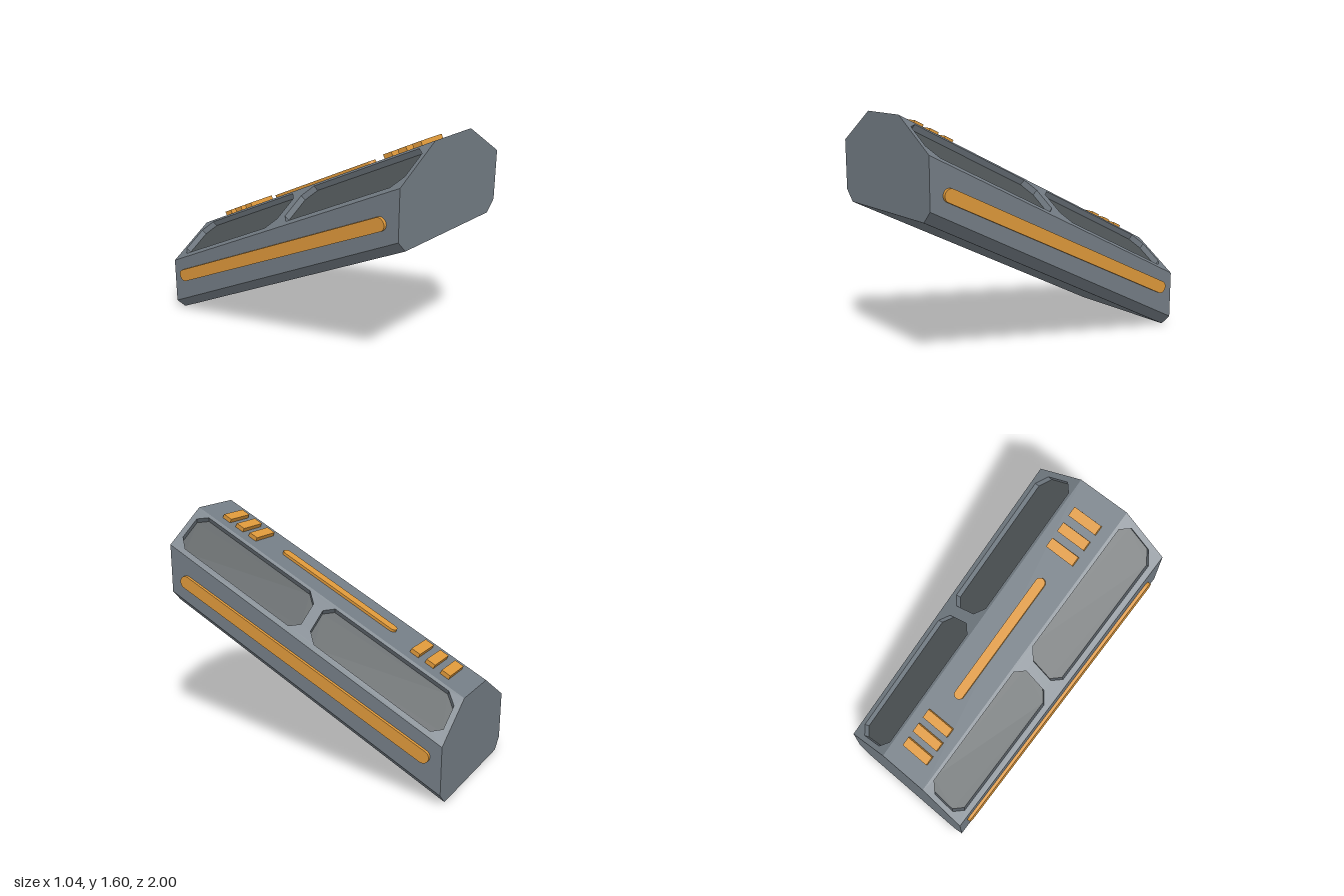
import * as THREE from 'three';

const W = 0.497, TOP = 0.595, RIDGE = 0.18, EAVE = 0.393;
const SLOPE = 0.5, TILT = Math.atan(SLOPE), DEPTH = 0.04;
const FALL = (TOP - EAVE) / (W - RIDGE);
const INWARD = new THREE.Vector3(FALL, 1, -SLOPE).normalize().multiplyScalar(-1);

const rise = (z) => SLOPE * (z + 1);

// flat-shaded geometry from a flat list of Vector3 triangles
function fromTriangles(points) {
  const g = new THREE.BufferGeometry().setFromPoints(points);
  g.computeVertexNormals();
  return g;
}

const quad = (a, b, c, d) => [a, b, c, a, c, d];

// reflect triangles across x = 0 and keep them facing outward
function mirrored(points) {
  const out = [];
  for (let i = 0; i < points.length; i += 3)
    for (const k of [0, 2, 1]) out.push(points[i + k].clone().setX(-points[i + k].x));
  return out;
}

// point on the sloping shoulder (shape coordinates are x and -z), sunk by depth
function onShoulder(x, v, depth = 0) {
  const z = -v;
  return new THREE.Vector3(x, TOP - FALL * (x - RIDGE) + rise(z), z).addScaledVector(INWARD, depth);
}

function shoulderFace(shape, depth) {
  const p = new THREE.ShapeGeometry(shape).toNonIndexed().attributes.position;
  const pts = [];
  for (let i = 0; i < p.count; i++) pts.push(onShoulder(p.getX(i), p.getY(i), depth));
  return pts;
}

// rectangle with clipped corners, counter-clockwise
function clippedCorners(x0, x1, v0, v1, cx, cv) {
  return [
    [x0 + cx, v0], [x1 - cx, v0], [x1, v0 + cv], [x1, v1 - cv],
    [x1 - cx, v1], [x0 + cx, v1], [x0, v1 - cv], [x0, v0 + cv],
  ].map(([x, y]) => new THREE.Vector2(x, y));
}

// sheared octagonal prism, leaving the two shoulders open
function hullTriangles() {
  const half = [[0.427, 0], [W, 0.073], [W, EAVE], [RIDGE, TOP]];
  const section = [...half, ...half.map(([x, y]) => [-x, y]).reverse()];
  const at = (i, z) => {
    const [x, y] = section[i % 8];
    return new THREE.Vector3(x, y + rise(z), z);
  };
  const pts = [];
  for (let i = 0; i < 8; i++) {
    if (i === 2 || i === 4) continue;
    pts.push(...quad(at(i, 1), at(i, -1), at(i + 1, -1), at(i + 1, 1)));
  }
  for (let i = 1; i < 7; i++) {
    pts.push(at(0, 1), at(i, 1), at(i + 1, 1));
    pts.push(at(0, -1), at(i + 1, -1), at(i, -1));
  }
  return pts;
}

// round-ended strip lying along local y, extruded along local z
function capsuleStrip(length, radius, thickness) {
  const h = length / 2 - radius;
  const s = new THREE.Shape();
  s.absarc(0, h, radius, 0, Math.PI, false);
  s.absarc(0, -h, radius, Math.PI, Math.PI * 2, false);
  s.closePath();
  const g = new THREE.ExtrudeGeometry(s, { depth: thickness, bevelEnabled: false, curveSegments: 10 });
  return g.translate(0, 0, -thickness / 2);
}

export function createModel() {
  const model = new THREE.Group();
  model.name = 'slopedBlock';
  const grey = new THREE.MeshStandardMaterial({ color: 0x737c84 });
  grey.name = 'hullGrey';
  const dark = new THREE.MeshStandardMaterial({ color: 0x4d5355 });
  dark.name = 'panelGrey';
  const orange = new THREE.MeshStandardMaterial({ color: 0xdc973a });
  orange.name = 'trimOrange';

  const add = (parent, name, geometry, material) => {
    const m = new THREE.Mesh(geometry, material);
    m.name = name;
    parent.add(m);
    return m;
  };

  add(model, 'hull', fromTriangles(hullTriangles()), grey);

  // shoulders with two sunken panels each
  const shoulder = new THREE.Shape([[RIDGE, -1], [W, -1], [W, 1], [RIDGE, 1]]
    .map(([x, y]) => new THREE.Vector2(x, y)));
  const walls = [], floors = [];
  for (const v0 of [-0.965, 0.035]) {
    const loop = clippedCorners(0.2, 0.462, v0, v0 + 0.93, 0.055, 0.06);
    shoulder.holes.push(new THREE.Path(loop));
    floors.push(...shoulderFace(new THREE.Shape(loop), DEPTH));
    loop.forEach((a, i) => {
      const b = loop[(i + 1) % loop.length];
      walls.push(...quad(onShoulder(a.x, a.y), onShoulder(b.x, b.y),
        onShoulder(b.x, b.y, DEPTH), onShoulder(a.x, a.y, DEPTH)));
    });
  }
  const frame = shoulderFace(shoulder, 0);
  for (const [side, place] of [['left', (p) => p], ['right', mirrored]]) {
    add(model, side + 'Shoulder', fromTriangles(place(frame)), grey);
    add(model, side + 'RecessWalls', fromTriangles(place(walls)), grey);
    add(model, side + 'RecessFloors', fromTriangles(place(floors)), dark);
  }

  // trim on the top, laid out along the slope
  const deck = new THREE.Group();
  deck.name = 'deckTrim';
  deck.position.y = TOP + rise(0);
  deck.rotation.x = -TILT;
  model.add(deck);
  const strip = capsuleStrip(0.965, 0.033, 0.036).rotateX(-Math.PI / 2);
  add(deck, 'centreStrip', strip, orange);
  const bar = new THREE.BoxGeometry(0.21, 0.056, 0.067);
  for (const z of [-0.829, -0.723, -0.617, 0.617, 0.723, 0.829])
    add(deck, 'crossBar', bar, orange).position.z = z / Math.cos(TILT);

  // long strips on both sides
  const sideStrip = capsuleStrip(2.03, 0.042, 0.04).rotateY(Math.PI / 2)
    .rotateX(Math.PI / 2 - Math.atan(0.48));
  for (const s of [1, -1])
    add(model, s > 0 ? 'leftStrip' : 'rightStrip', sideStrip, orange)
      .position.set(s * (W + 0.001), 0.734, -0.006);

  return model;
}
